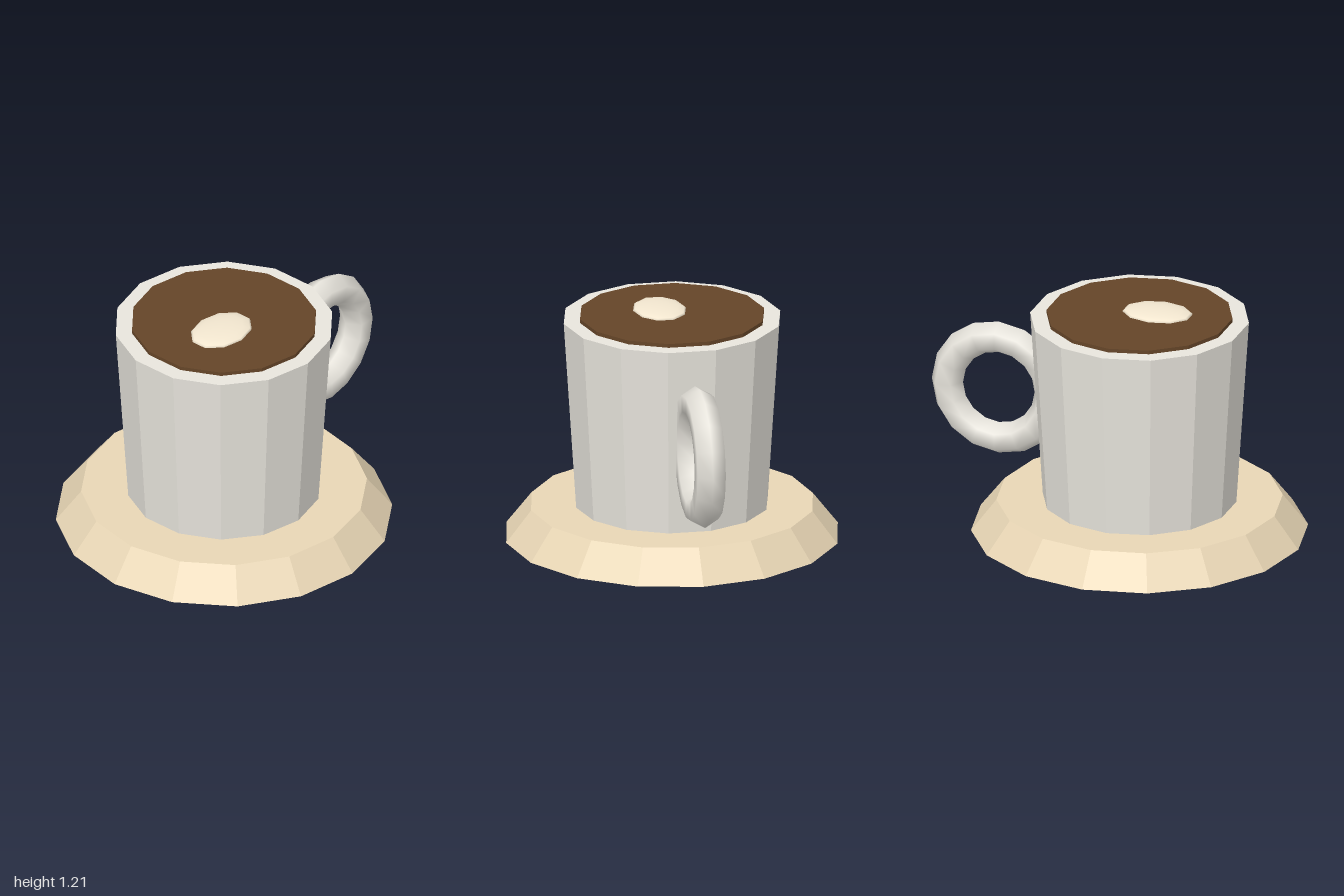
import * as THREE from 'three';

const AXIS_X = -0.135; // shared centre line of cup and saucer

function addPart(group, name, geometry, color, position, flatShading) {
  const material = new THREE.MeshStandardMaterial({ color, flatShading });
  const mesh = new THREE.Mesh(geometry, material);
  mesh.name = name;
  mesh.position.set(...position);
  group.add(mesh);
  return mesh;
}

// Faceted tapered disc standing on height y
function addTaper(group, name, color, rTop, rBottom, y, height, sides) {
  const geometry = new THREE.CylinderGeometry(rTop, rBottom, height, sides);
  return addPart(group, name, geometry, color, [AXIS_X, y + height / 2, 0], true);
}

export function createModel() {
  const group = new THREE.Group();
  group.name = 'cupAndSaucer';

  addTaper(group, 'saucer', 0xe8d6b5, 0.735, 0.865, 0, 0.168, 16);
  addTaper(group, 'cup', 0xe8e5dd, 0.565, 0.5, 0.168, 1.0, 14);
  addTaper(group, 'coffee', 0x654528, 0.48, 0.48, 1.148, 0.04, 14);

  // Ring handle, partly sunk into the cup wall
  addPart(group, 'handle', new THREE.TorusGeometry(0.28, 0.085, 6, 16), 0xe8e5dd, [0.632, 0.67, 0], false);

  // Flattened blob of foam, turned so its corners point along z
  const foam = new THREE.SphereGeometry(1, 10, 8);
  foam.rotateY(Math.PI / 10);
  foam.scale(0.189, 0.026, 0.14);
  addPart(group, 'foam', foam, 0xf3e7d0, [-0.215, 1.186, 0.05], false);

  return group;
}
